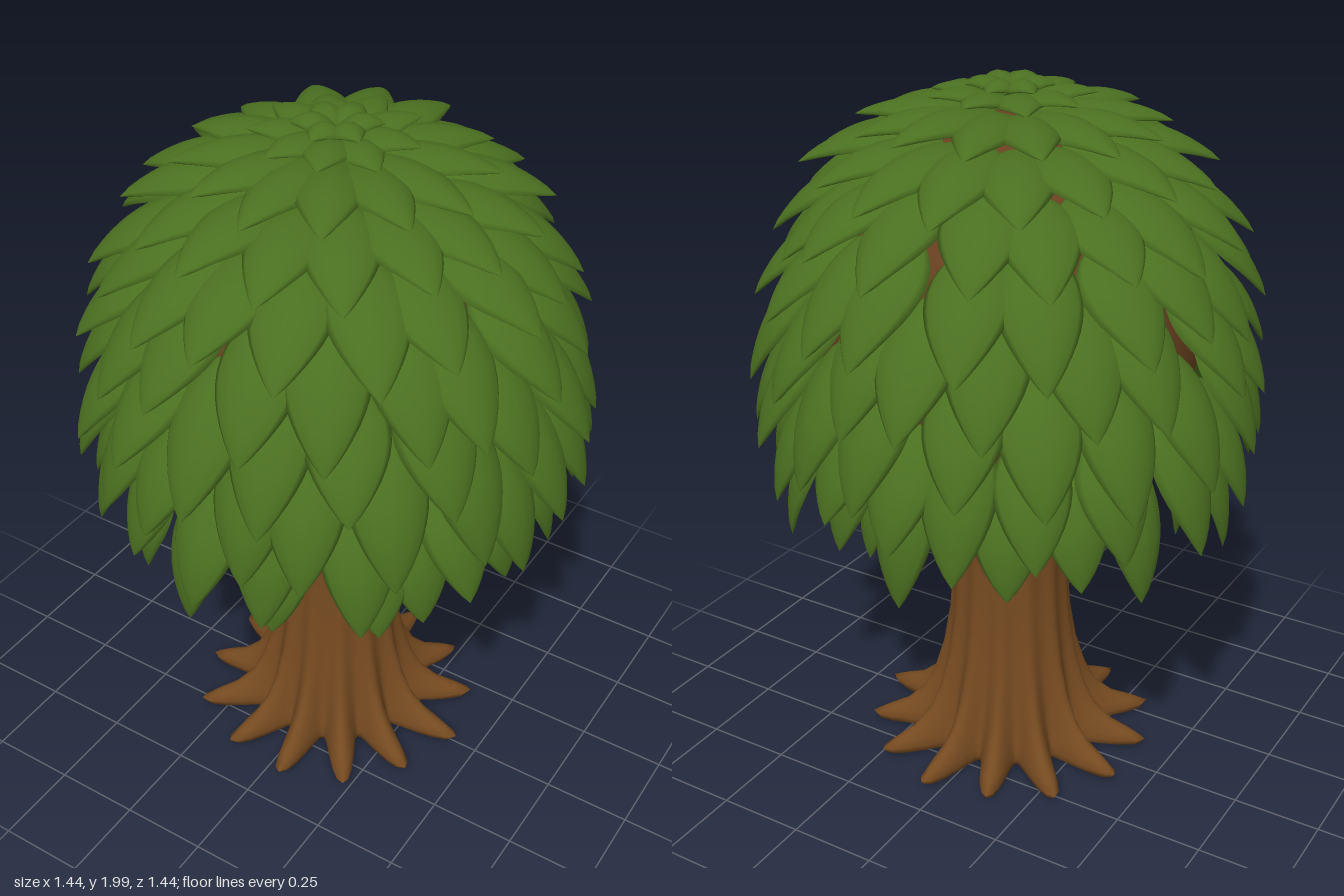
import * as THREE from 'three';
import { mergeGeometries } from 'three/addons/utils/BufferGeometryUtils.js';

const V = (x, y, z) => new THREE.Vector3(x, y, z);

// Closed smooth skin through rings of points; point(u, angle) gives each corner
function loft(rings, sides, point) {
  const pos = [], index = [];
  for (let i = 0; i <= rings; i++)
    for (let j = 0; j < sides; j++) {
      const p = point(i / rings, (j / sides) * Math.PI * 2, i);
      pos.push(p.x, p.y, p.z);
    }
  for (let i = 0; i < rings; i++)
    for (let j = 0; j < sides; j++) {
      const a = i * sides + j, c = i * sides + ((j + 1) % sides);
      index.push(a, a + sides, c, c, a + sides, c + sides);
    }
  const g = new THREE.BufferGeometry();
  g.setAttribute('position', new THREE.Float32BufferAttribute(pos, 3));
  g.setIndex(index);
  g.computeVertexNormals();
  return g;
}

function seeded(seed) {
  return () => {
    seed = (seed * 16807) % 2147483647;
    return seed / 2147483647;
  };
}

// Trunk: each ring blends a valley radius and a root-ridge radius
function trunkGeometry() {
  const profile = [ // y, valley radius, ridge radius
    [0.01, 0, 0], [0.008, 0.2, 0.34], [0.014, 0.225, 0.41], [0.032, 0.23, 0.425], [0.052, 0.228, 0.385],
    [0.08, 0.222, 0.32], [0.13, 0.21, 0.265], [0.2, 0.198, 0.23], [0.3, 0.182, 0.2],
    [0.42, 0.17, 0.18], [0.55, 0.163, 0.17], [0.66, 0.162, 0.168], [0.75, 0.172, 0.178],
    [0.83, 0.185, 0.188], [0.89, 0.15, 0.15], [0.93, 0, 0],
  ];
  const roots = 13;
  return loft(profile.length - 1, roots * 12, (u, a, i) => {
    const [y, valley, ridge] = profile[i];
    const lobe = Math.pow(0.5 + 0.5 * Math.cos(roots * a), 1.2);
    const uneven = 0.97 + 0.08 * Math.sin(a * 3 + 1) * Math.cos(a * 5);
    const r = valley + (ridge - valley) * lobe * uneven;
    return V(Math.cos(a) * r, y, Math.sin(a) * r);
  });
}

// Branch: tapering tube that leaves the trunk and curls out under the crown
function branchGeometry(lift) {
  const path = new THREE.CatmullRomCurve3([
    V(0.075, 0.5, 0), V(0.11, 0.72, 0), V(0.19, 0.87, 0),
    V(0.32, 0.97 + lift, 0), V(0.46, 1.1 + lift, 0),
  ]);
  return loft(14, 14, (u, a) => {
    const t = path.getTangent(u), p = path.getPoint(u);
    const r = 0.08 - 0.03 * u;
    return V(p.x + t.y * Math.cos(a) * r, p.y - t.x * Math.cos(a) * r, Math.sin(a) * r);
  });
}

// Leaf: unit long along +z, unit wide along x, arched and cupped, pointed tip
function leafGeometry() {
  return loft(12, 12, (u, a) => {
    const s = Math.max(0, Math.sin(Math.PI * Math.pow(0.03 + 0.97 * u, 0.74)));
    const half = 0.5 * Math.pow(s, 0.85);
    const x = Math.sin(a) * half;
    const arch = 0.08 * Math.sin(Math.PI * u) - 0.3 * x * x;
    return V(x, arch + Math.cos(a) * 0.055 * Math.sqrt(s), u);
  });
}

export function createModel() {
  const bark = new THREE.MeshStandardMaterial({ color: 0x754a20 });
  bark.name = 'bark brown';
  const inner = new THREE.MeshStandardMaterial({ color: 0x68401f });
  inner.name = 'inner brown';
  const green = new THREE.MeshStandardMaterial({ color: 0x4b7020 });
  green.name = 'leaf green';
  const tree = new THREE.Group();
  tree.name = 'tree';
  const add = (geometry, material, name, parent = tree) => {
    const mesh = new THREE.Mesh(geometry, material);
    mesh.name = name;
    parent.add(mesh);
    return mesh;
  };

  add(trunkGeometry(), bark, 'trunkWithRoots');

  // Ring of branches
  const branches = new THREE.Group();
  branches.name = 'branches';
  tree.add(branches);
  for (let i = 0; i < 9; i++)
    add(branchGeometry((i % 3) * 0.03), bark, 'branch', branches).rotation.y = (i / 9) * Math.PI * 2 + 0.2;

  // Woody mass inside the crown
  const outline = new THREE.SplineCurve([
    [0, 1.08], [0.28, 1.07], [0.43, 1.06], [0.5, 1.18], [0.51, 1.38],
    [0.45, 1.6], [0.33, 1.76], [0.16, 1.87], [0, 1.91],
  ].map(([r, y]) => new THREE.Vector2(r, y)));
  const profile = outline.getPoints(28).map((p) => new THREE.Vector2(Math.max(0, p.x), p.y));
  add(new THREE.LatheGeometry(profile, 40), inner, 'crownCore');

  // Overlapping rows of leaves from the top down
  const rows = [ // base radius, base y, tip radius, tip y, count, width, jitter
    [0.0, 1.955, 0.12, 1.975, 6, 0.1, 0],
    [0.01, 1.93, 0.225, 1.95, 9, 0.14, 0.01],
    [0.05, 1.9, 0.42, 1.88, 13, 0.18, 0.015],
    [0.2, 1.86, 0.55, 1.76, 16, 0.2, 0.02],
    [0.34, 1.78, 0.64, 1.6, 18, 0.21, 0.03],
    [0.43, 1.68, 0.69, 1.42, 19, 0.215, 0.035],
    [0.49, 1.55, 0.715, 1.24, 19, 0.215, 0.04],
    [0.52, 1.4, 0.705, 1.06, 19, 0.21, 0.04],
    [0.53, 1.24, 0.68, 0.9, 18, 0.2, 0.05],
    [0.51, 1.1, 0.6, 0.77, 15, 0.18, 0.07],
    [0.42, 1.07, 0.46, 0.8, 9, 0.15, 0.09],
  ];
  const leaf = leafGeometry();
  const random = seeded(41);
  const jitter = (amount) => (random() * 2 - 1) * amount;
  rows.forEach(([br, by, tr, ty, count, width, loose], row) => {
    const leaves = [];
    for (let i = 0; i < count; i++) {
      const angle = ((i + (row % 2) * 0.5) / count) * Math.PI * 2 + jitter(loose * 1.8);
      const out = V(Math.sin(angle), 0, Math.cos(angle));
      const base = out.clone().multiplyScalar(br).setY(by + jitter(loose * 0.5));
      const tip = out.clone().multiplyScalar(tr + jitter(loose * 0.4)).setY(ty + jitter(loose));
      const along = tip.sub(base), length = along.length();
      const across = V(Math.cos(angle), 0, -Math.sin(angle));
      const up = along.clone().cross(across).normalize();
      const m = new THREE.Matrix4().makeBasis(
        across.multiplyScalar(width), up.multiplyScalar(Math.max(0.27, length)), along);
      leaves.push(leaf.clone().applyMatrix4(m.setPosition(base)));
    }
    add(mergeGeometries(leaves), green, `leafRow${row + 1}`);
  });
  return tree;
}
